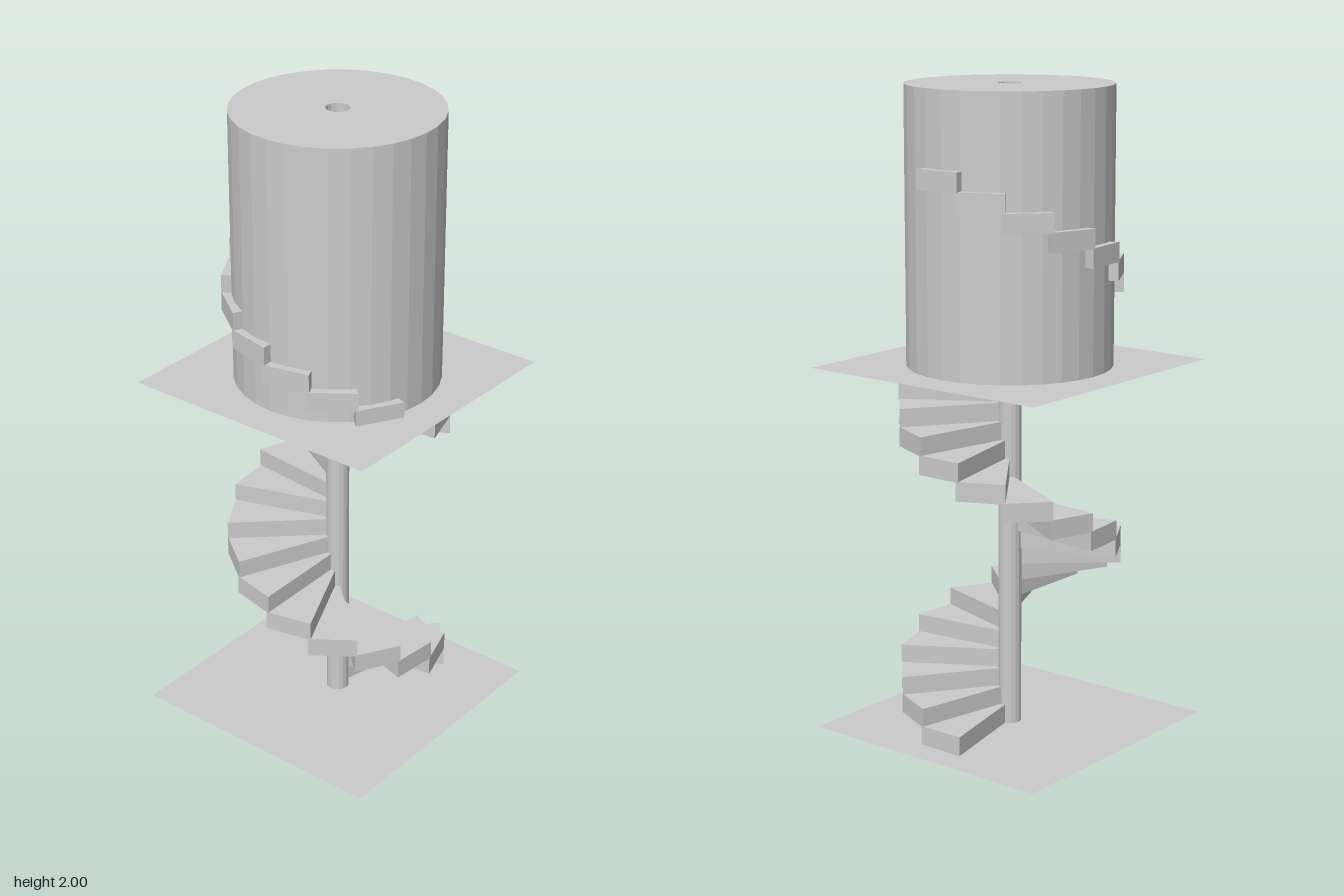
import * as THREE from 'three';

const FLOOR = 0.855;         // side of the square floors
const LANDING_Y = 1.15;      // height of the upper floor
const TOP_Y = 2;
const DRUM_R = 0.316;
const POLE_R = 0.036;
const STEPS = 31, STEPS_PER_TURN = 15;
const RISE = 0.057, THICK = 0.06;
const STEP_R = 0.346, HALF_ANGLE = THREE.MathUtils.degToRad(12.7);

const solid = new THREE.MeshStandardMaterial({ color: 0xcccccc, flatShading: true });
const sheet = new THREE.MeshStandardMaterial({ color: 0xcccccc, flatShading: true, side: THREE.DoubleSide });

function add(parent, name, geometry, material, y = 0) {
  const mesh = new THREE.Mesh(geometry, material);
  mesh.name = name;
  mesh.position.y = y;
  parent.add(mesh);
  return mesh;
}

// Regular polygon outline, so that hole edges match the cylinder facets
function polygon(radius, sides) {
  return Array.from({ length: sides }, (_, i) => {
    const a = (i / sides) * Math.PI * 2;
    return new THREE.Vector2(Math.cos(a) * radius, Math.sin(a) * radius);
  });
}

// Flat horizontal sheet with a central hole
function sheetWithHole(outline, hole) {
  const shape = new THREE.Shape(outline);
  shape.holes.push(new THREE.Path(hole));
  return new THREE.ShapeGeometry(shape).rotateX(-Math.PI / 2);
}

// Open tube standing on its base
function openTube(radius, bottom, top, sides) {
  const h = top - bottom;
  return new THREE.CylinderGeometry(radius, radius, h, sides, 1, true).translate(0, bottom + h / 2, 0);
}

export function createModel() {
  const model = new THREE.Group();
  model.name = 'spiralStaircase';

  // Floors: plain below, with a round stairwell opening above
  add(model, 'lowerFloor', new THREE.PlaneGeometry(FLOOR, FLOOR).rotateX(-Math.PI / 2), sheet);
  const f = FLOOR / 2;
  const square = [[-f, -f], [f, -f], [f, f], [-f, f]].map(([x, y]) => new THREE.Vector2(x, y));
  add(model, 'upperFloor', sheetWithHole(square, polygon(DRUM_R, 32)), sheet, LANDING_Y);

  // Hollow drum around the upper flight, with a ring-shaped lid
  add(model, 'drumWall', openTube(DRUM_R, LANDING_Y, TOP_Y, 32), sheet);
  add(model, 'drumLid', sheetWithHole(polygon(DRUM_R, 32), polygon(POLE_R, 16)), sheet, TOP_Y);

  // Hollow central pole
  add(model, 'centralPole', openTube(POLE_R, 0, TOP_Y, 16), sheet);

  // Wedge treads meeting at the axis, climbing two full turns
  const x = STEP_R * Math.cos(HALF_ANGLE), w = STEP_R * Math.sin(HALF_ANGLE);
  const wedge = new THREE.Shape([new THREE.Vector2(0, 0), new THREE.Vector2(x, -w), new THREE.Vector2(x, w)]);
  const tread = new THREE.ExtrudeGeometry(wedge, { depth: THICK, bevelEnabled: false }).rotateX(-Math.PI / 2);
  const stairs = new THREE.Group();
  stairs.name = 'stairs';
  for (let i = 0; i < STEPS; i++) {
    const step = add(stairs, `step${i + 1}`, tread, solid, i * RISE);
    step.rotation.y = -(i / STEPS_PER_TURN) * Math.PI * 2;
  }
  model.add(stairs);

  return model;
}
